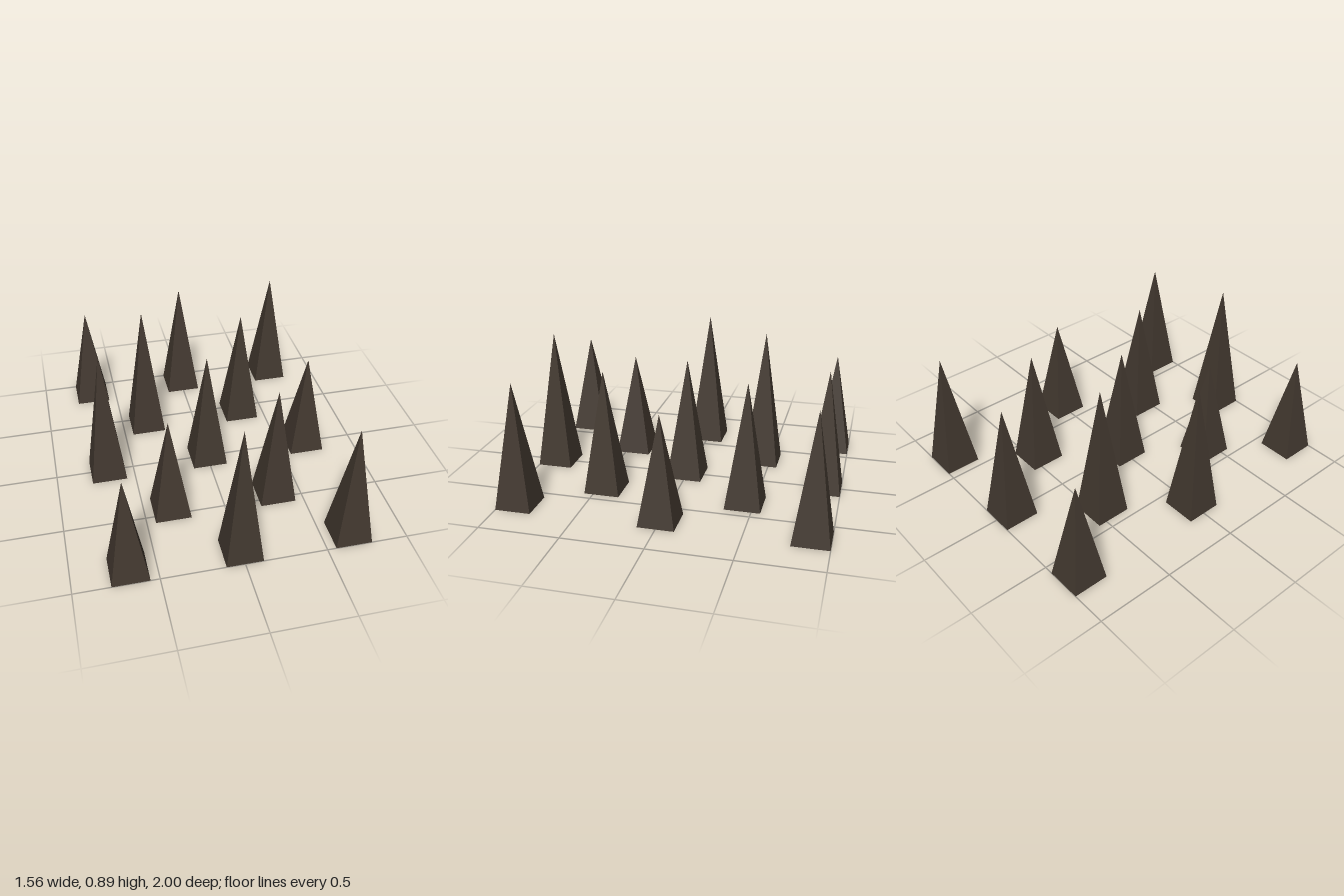
import * as THREE from 'three';

// [x, z, height] in grid steps: x of 1/3, z of 4/9, height of 1/9
const SPIKES = [
  [-2, -2, 6], [0, -2, 7], [2, -2, 7],
  [-1, -1, 8], [1, -1, 7],
  [-2, 0, 8], [0, 0, 7], [2, 0, 6],
  [-1, 1, 6], [1, 1, 7],
  [-2, 2, 6], [0, 2, 8], [2, 2, 7],
];

export function createModel() {
  const model = new THREE.Group();
  model.name = 'spikeField';
  const darkWood = new THREE.MeshStandardMaterial({ color: 0x42382f, flatShading: true });
  darkWood.name = 'darkWood';

  // square pyramid of unit height standing on its base, sides facing the axes
  const half = 1 / 9;
  const pyramid = new THREE.ConeGeometry(half * Math.SQRT2, 1, 4)
    .rotateY(Math.PI / 4)
    .translate(0, 0.5, 0)
    .toNonIndexed();
  pyramid.computeVertexNormals();

  // staggered rows of spikes
  SPIKES.forEach(([x, z, h], i) => {
    const spike = new THREE.Mesh(pyramid, darkWood);
    spike.name = `spike${i + 1}`;
    spike.position.set(x / 3, 0, (z * 4) / 9);
    spike.scale.y = h / 9;
    model.add(spike);
  });
  return model;
}
